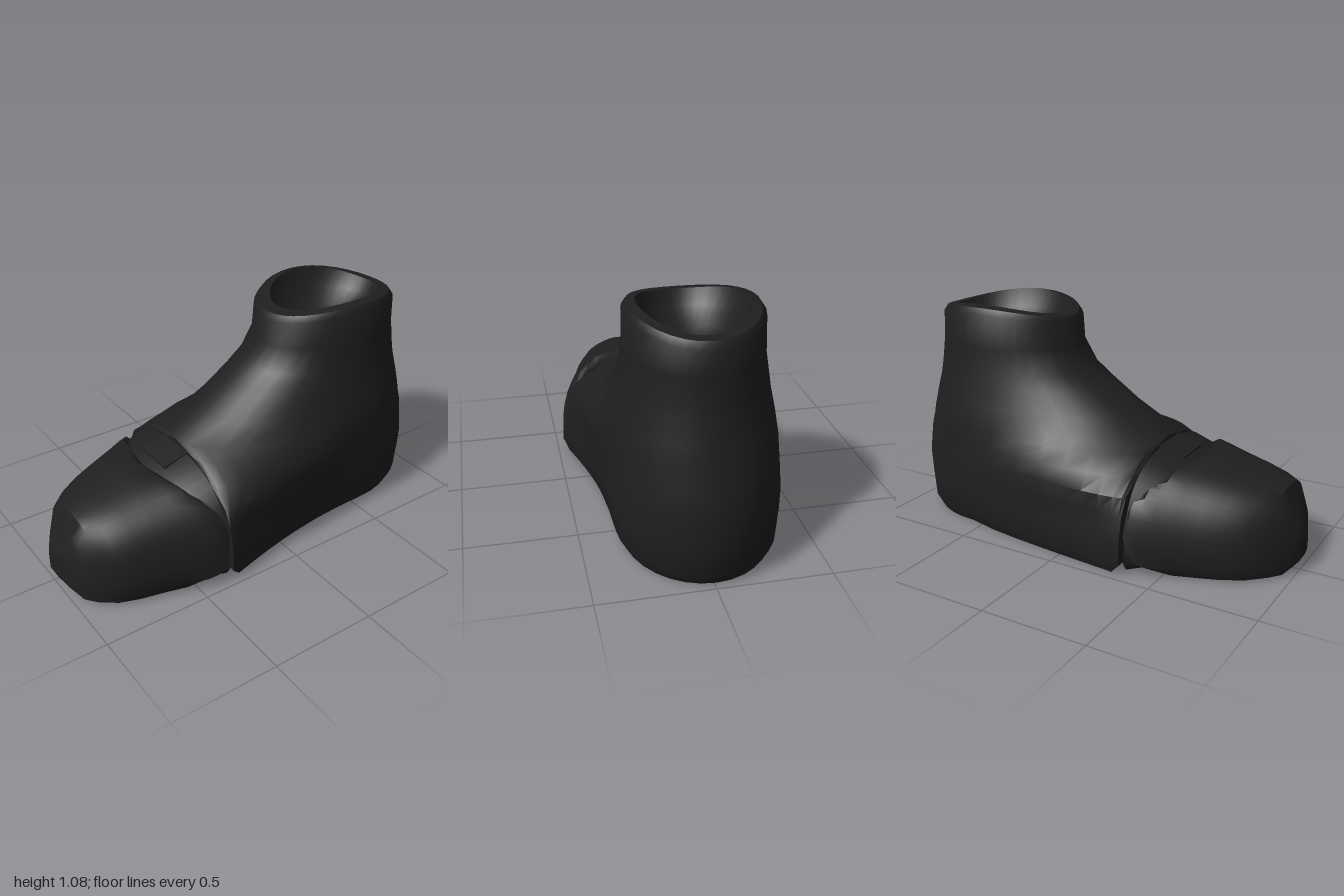
import * as THREE from 'three';
import { toCreasedNormals } from 'three/addons/utils/BufferGeometryUtils.js';

// Skin a list of equal-length rings and cap both ends.
function loft(rings, crease) {
  const n = rings[0].length, pos = [], idx = [];
  rings.forEach(r => r.forEach(p => pos.push(...p)));
  for (let i = 0; i < rings.length - 1; i++) {
    for (let j = 0; j < n; j++) {
      const a = i * n + j, b = i * n + (j + 1) % n;
      idx.push(a, a + n, b, b, a + n, b + n);
    }
  }
  [0, rings.length - 1].forEach(k => {
    const c = pos.length / 3;
    pos.push(...[0, 1, 2].map(d => rings[k].reduce((s, p) => s + p[d], 0) / n));
    for (let j = 0; j < n; j++) {
      const a = k * n + j, b = k * n + (j + 1) % n;
      if (k === 0) idx.push(c, a, b); else idx.push(c, b, a);
    }
  });
  const g = new THREE.BufferGeometry();
  g.setAttribute('position', new THREE.Float32BufferAttribute(pos, 3));
  g.setIndex(idx);
  return toCreasedNormals(g, crease);
}

// Horizontal outline: round heel, sides running to a flat front of half-width wf.
function bootRing([y, zb, zw, w, zf, wf, bulge = 0, dip = 0]) {
  const half = side => {
    const pts = [];
    for (let i = 0; i <= 8; i++) {
      const a = i / 8 * Math.PI / 2;
      pts.push([w * Math.sin(a), zw + (zb - zw) * Math.cos(a)]);
    }
    for (let i = 1; i <= 9; i++) {
      const a = i / 9 * Math.PI / 2, s = Math.sin(a);
      // the inner side keeps a waist, the outer side widens steadily
      const f = wf > w ? Math.pow(s, side > 0 ? 2 : 0.7) : 1 - Math.cos(a);
      pts.push([w + (wf - w) * f + bulge * Math.sin(2 * a), zw + (zf - zw) * s]);
    }
    pts.push([wf / 2, zf]);
    return pts.map(([x, z]) => {
      const lean = -0.01 * Math.min(1, (0.34 - z) / 0.6) * Math.max(0, 1 - 0.7 * y);
      return [side * x + lean, y - dip * ((z - zw) / (zf - zw)) ** 2, z];
    });
  };
  return [...half(1), [0, y - dip, zf], ...half(-1).reverse().slice(0, -1)];
}

// Upright arch section, cut off below y0 and above y1.
function archRing([z, y0, y1, top, xl, xr]) {
  const c = (xl + xr) / 2, w = (xr - xl) / 2, pts = [], n = 24, e = 0.74;
  const add = (x, y) => pts.push([c + w * x, Math.min(y1, Math.max(y0, y)), z]);
  for (let i = 0; i <= n; i++) {
    const a = Math.PI * (1 - i / n), cs = Math.cos(a);
    add(Math.sign(cs) * Math.abs(cs) ** e, 0.05 + (top - 0.05) * Math.max(0, Math.sin(a)) ** e);
  }
  [0.94, 0.4, -0.4, -0.94].forEach(x => add(x, 0.01));
  return pts;
}

// Pull the middle of the rear sections forward, so the back edge is a V in plan.
const notch = ring => ring.map(([x, y, z]) =>
  [x, y, z + 0.8 * Math.max(0, 0.54 - z) * Math.max(0, 1 - Math.abs(x) / 0.36)]);

export function createModel() {
  const group = new THREE.Group();
  const black = new THREE.MeshStandardMaterial({ color: 0x1f1f1f });
  black.name = 'matte black';
  const add = (name, geometry) => {
    const m = new THREE.Mesh(geometry, black);
    m.name = name;
    group.add(m);
    return m;
  };

  // Boot: sole, instep, ankle, rounded rim and the bowl inside
  add('ankleBoot', loft([
    [0, -0.96, -0.57, 0.325, 0.29, 0.447],
    [0.05, -0.985, -0.57, 0.352, 0.337, 0.472],
    [0.17, -0.993, -0.57, 0.362, 0.337, 0.466],
    [0.27, -1, -0.57, 0.365, 0.337, 0.445],
    [0.35, -0.99, -0.57, 0.36, 0.337, 0.405, 0.038],
    [0.42, -0.98, -0.57, 0.355, 0.337, 0.29, 0.055],
    [0.485, -0.96, -0.56, 0.353, 0.337, 0.16, 0.04],
    [0.513, -0.955, -0.56, 0.352, 0.335, 0, 0.035],
    [0.6, -0.935, -0.55, 0.34, 0.18, 0, 0.012],
    [0.7, -0.91, -0.54, 0.321, 0.03, 0],
    [0.77, -0.9, -0.53, 0.312, -0.08, 0],
    [0.88, -0.89, -0.53, 0.295, -0.155, 0],
    [1.04, -0.886, -0.53, 0.292, -0.165, 0, 0, 0.052],
    [1.066, -0.865, -0.53, 0.275, -0.186, 0, 0, 0.047],
    [1.075, -0.815, -0.53, 0.235, -0.25, 0, 0, 0.047],
    [0.985, -0.78, -0.53, 0.205, -0.285, 0, 0, 0.02],
    [0.91, -0.71, -0.53, 0.145, -0.355, 0],
    [0.87, -0.63, -0.53, 0.075, -0.435, 0],
    [0.86, -0.56, -0.53, 0.02, -0.5, 0],
  ].map(bootRing), 0.7));

  // Socket between the boot and the toe
  add('toeSocket', loft([
    [0.345, 0.01, 0.5, 0.49, -0.44, 0.45],
    [0.46, 0.04, 0.5, 0.45, -0.395, 0.425],
    [0.54, 0.05, 0.5, 0.41, -0.34, 0.37],
  ].map(archRing), 0.6));

  // Toe: rounded back edge, tapering to a blunt nose with a chamfered sole
  add('toeCap', loft([
    [0.346, 0.18, 0.27, 0.485, -0.45, 0.46],
    [0.365, 0.12, 0.33, 0.485, -0.455, 0.465],
    [0.41, 0.06, 0.395, 0.48, -0.44, 0.463],
    [0.46, 0.03, 0.445, 0.475, -0.42, 0.452],
    [0.54, 0.01, 0.5, 0.463, -0.385, 0.427],
    [0.65, 0.01, 0.5, 0.437, -0.345, 0.395],
    [0.75, 0.01, 0.5, 0.413, -0.305, 0.37],
    [0.84, 0.01, 0.5, 0.39, -0.25, 0.335],
    [0.91, 0.01, 0.5, 0.367, -0.18, 0.28],
    [0.955, 0.01, 0.5, 0.27, -0.12, 0.22],
    [0.985, 0.036, 0.5, 0.2, -0.07, 0.135],
    [1, 0.05, 0.5, 0.17, -0.03, 0.05],
  ].map(archRing).map(notch), 0.75));

  // Hinge tab bridging the gap, with a sloping top
  const tab = new THREE.Shape([[0.3, 0.015], [0.46, 0.025], [0.46, 0.457], [0.34, 0.492], [0.3, 0.492]]
    .map(([z, y]) => new THREE.Vector2(-z, y)));
  const hinge = add('hingeTab', new THREE.ExtrudeGeometry(tab, { depth: 0.2, bevelEnabled: false }));
  hinge.rotation.y = Math.PI / 2;
  hinge.position.x = -0.095;

  return group;
}
